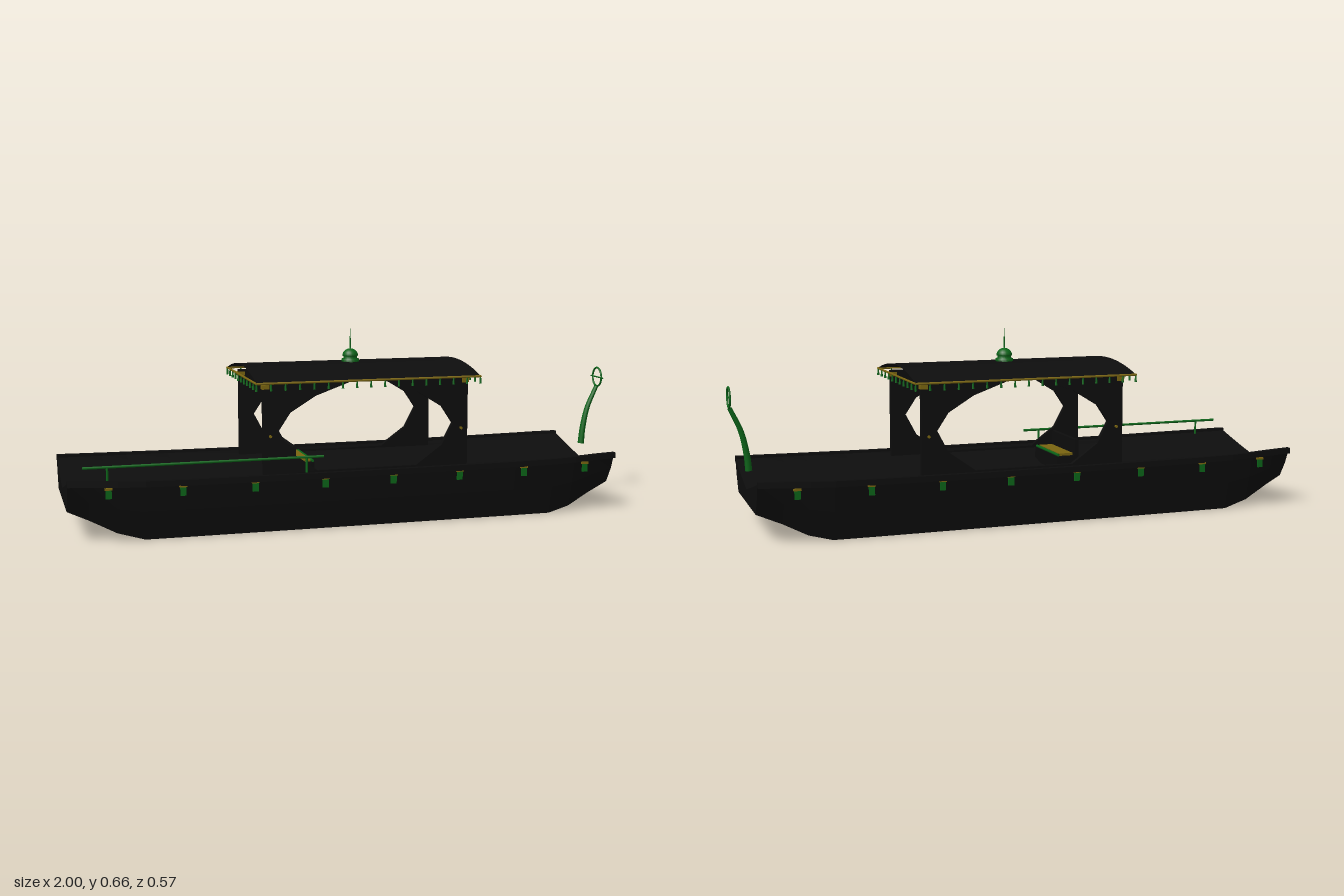
import * as THREE from 'three';

const mat = (color, extra = {}) => new THREE.MeshStandardMaterial({ color, ...extra });
const dark = mat(0x0d0d0d, { flatShading: true });
const darkSheet = mat(0x0d0d0d, { side: THREE.DoubleSide });
const green = mat(0x0b6418);
const gold = mat(0x7a6510);

export function createModel() {
  const boat = new THREE.Group();
  boat.name = 'riverBarge';

  const add = (name, geo, material, x = 0, y = 0, z = 0) => {
    const m = new THREE.Mesh(geo, material);
    m.name = name;
    m.position.set(x, y, z);
    boat.add(m);
    return m;
  };
  const box = (name, w, h, d, material, x, y, z) => add(name, new THREE.BoxGeometry(w, h, d), material, x, y, z);
  const cyl = (name, rt, rb, h, material, x, y, z, n = 12) =>
    add(name, new THREE.CylinderGeometry(rt, rb, h, n), material, x, y, z);
  const rod = (name, axis, len, r, material, x, y, z) => {
    const g = new THREE.CylinderGeometry(r, r, len, 8);
    if (axis === 'x') g.rotateZ(Math.PI / 2); else g.rotateX(Math.PI / 2);
    return add(name, g, material, x, y, z);
  };

  // Closed solid through cross-sections, each counter-clockwise seen from +x
  const loft = (sections) => {
    const n = sections[0].length, pos = [], idx = [];
    sections.forEach((s) => s.forEach((p) => pos.push(...p)));
    for (let i = 0; i < sections.length - 1; i++) {
      for (let j = 0; j < n; j++) {
        const k = (j + 1) % n, a = i * n + j, b = i * n + k;
        idx.push(a, b, b + n, a, b + n, a + n);
      }
    }
    [0, sections.length - 1].forEach((i) => {
      const s = sections[i], c = pos.length / 3;
      pos.push(...s[0].map((v, q) => (v + s[n / 2][q]) / 2));
      for (let j = 0; j < n; j++) {
        const a = i * n + j, b = i * n + (j + 1) % n;
        idx.push(c, ...(i ? [a, b] : [b, a]));
      }
    });
    const g = new THREE.BufferGeometry();
    g.setAttribute('position', new THREE.Float32BufferAttribute(pos, 3));
    g.setIndex(idx);
    const flat = g.toNonIndexed();
    flat.computeVertexNormals();
    return flat;
  };

  // Hull stations: x, keel height, half width at bottom, half width at top, top height
  const stations = [
    [-1, 0.1, 0.195, 0.25, 0.205], [-0.93, 0.07, 0.21, 0.256, 0.203],
    [-0.84, 0.025, 0.225, 0.266, 0.2], [-0.75, 0, 0.234, 0.273, 0.198],
    [-0.6, 0, 0.236, 0.275, 0.196], [-0.2, 0, 0.236, 0.275, 0.194],
    [0.2, 0, 0.236, 0.275, 0.194], [0.55, 0, 0.236, 0.275, 0.196],
    [0.7, 0, 0.234, 0.273, 0.198], [0.78, 0.02, 0.225, 0.267, 0.2],
    [0.86, 0.06, 0.212, 0.258, 0.203], [0.945, 0.095, 0.195, 0.25, 0.205],
  ];
  add('hull', loft(stations.map(([x, b, wb, wt, top]) => {
    const half = [[wb, b], [wb + (wt - wb) * 0.6, (b + top) / 2], [wt, top], [0.195, 0.19], [0.11, 0.168]];
    return [
      [x, b, 0], ...half.map(([z, y]) => [x, y, -z]),
      [x, 0.142, 0], ...half.reverse().map(([z, y]) => [x, y, z]),
    ];
  })), dark);

  // Gunwale rails with hanging tabs
  const rail = loft(stations.map(([x, , , w, y]) => [
    [x, y - 0.012, w + 0.011], [x, y - 0.012, w - 0.008], [x, y + 0.008, w - 0.008], [x, y + 0.008, w + 0.011],
  ]));
  for (const s of [1, -1]) {
    add(s > 0 ? 'frontGunwale' : 'backGunwale', rail, dark).scale.z = s;
    for (let i = 0; i < 8; i++) {
      const x = -0.87 + i * 0.2415;
      const z = s * (Math.abs(x + 0.0275) > 0.8 ? 0.268 : 0.281);
      box('hangingTab', 0.02, 0.03, 0.006, green, x, 0.166, z);
      box('tabCap', 0.026, 0.007, 0.009, gold, x, 0.183, z);
    }
  }

  // Cabin side walls with an oval opening
  const wall = new THREE.Shape([[-0.345, 0.185], [0.39, 0.185], [0.39, 0.504], [-0.345, 0.504]]
    .map((p) => new THREE.Vector2(...p)));
  wall.holes.push(new THREE.Path([
    [-0.29, 0.34], [-0.25, 0.4], [-0.16, 0.455], [-0.04, 0.498], [0.085, 0.498], [0.205, 0.455],
    [0.295, 0.4], [0.335, 0.34], [0.295, 0.265], [0.2, 0.197], [-0.155, 0.197], [-0.25, 0.265],
  ].map((p) => new THREE.Vector2(...p))));
  const wallGeo = new THREE.ExtrudeGeometry(wall, { depth: 0.017, bevelEnabled: false });
  for (const s of [1, -1]) {
    add('cabinWall', wallGeo, dark, 0, 0, s * 0.203 - 0.0085);
    for (const x of [-0.335, 0.38]) {
      box('wallCapital', 0.026, 0.015, 0.026, gold, x, 0.49, s * 0.203);
      rod('wallKnob', 'z', 0.014, 0.005, gold, x - Math.sign(x) * 0.015, 0.322, s * 0.213);
    }
  }

  // Arched canopy sheet
  const roof = new THREE.PlaneGeometry(0.795, 0.51, 1, 20).rotateX(-Math.PI / 2);
  const rp = roof.attributes.position;
  for (let i = 0; i < rp.count; i++) rp.setY(i, 0.508 + 0.037 * (1 - (rp.getZ(i) / 0.255) ** 2));
  roof.computeVertexNormals();
  add('canopy', roof, darkSheet, 0.0225);

  // Eave rods and the drops beneath them
  const drop = (x, z) => cyl('eaveDrop', 0.0025, 0.0045, 0.022, green, x, 0.493, z, 8);
  for (const s of [1, -1]) {
    const endX = 0.0225 + s * 0.3975;
    rod('sideEave', 'x', 0.795, 0.004, gold, 0.0225, 0.507, s * 0.253);
    rod('endEave', 'z', 0.51, 0.004, gold, endX, 0.507, 0);
    for (let i = 0; i <= 16; i++) drop(-0.375 + i * 0.0497, s * 0.253);
    for (let i = 1; i < 10; i++) drop(endX, -0.253 + i * 0.0506);
  }

  // Roof finial
  const finial = [[0, 0.538], [0.032, 0.538], [0.032, 0.554], [0.024, 0.554], [0.024, 0.565], [0.028, 0.565]];
  for (let i = 1; i <= 6; i++) {
    const a = i * Math.PI / 13;
    finial.push([0.028 * Math.cos(a), 0.565 + 0.026 * Math.sin(a)]);
  }
  finial.push([0.0025, 0.595], [0.0025, 0.61], [0.0015, 0.64], [0, 0.662]);
  const finialGeo = new THREE.LatheGeometry(finial.map((p) => new THREE.Vector2(...p)), 20);
  add('roofFinial', finialGeo, green, 0.022);

  // Seat facing +x, with cushion and front roll
  box('seatBase', 0.075, 0.052, 0.224, dark, -0.177, 0.181, 0);
  box('seatBack', 0.014, 0.11, 0.224, dark, -0.213, 0.21, 0);
  box('seatCushion', 0.05, 0.009, 0.2, gold, -0.177, 0.211, 0);
  rod('seatRoll', 'z', 0.212, 0.005, green, -0.145, 0.211, 0);

  // Long pole resting on two posts
  rod('pole', 'x', 0.81, 0.0045, green, -0.545, 0.25, 0.237);
  for (const x of [-0.87, -0.2]) cyl('poleRest', 0.004, 0.004, 0.055, green, x, 0.225, 0.237, 8);

  // Curved tapering stem at the end of the boat
  const path = new THREE.CatmullRomCurve3([
    [0.935, 0.205], [0.94, 0.26], [0.957, 0.34], [0.992, 0.42],
  ].map(([x, y]) => new THREE.Vector3(x, y, 0)));
  const stem = new THREE.TubeGeometry(path, 16, 0.012, 10, false);
  const sp = stem.attributes.position, c = new THREE.Vector3(), v = new THREE.Vector3();
  for (let i = 0; i < sp.count; i++) {
    const t = Math.floor(i / 11) / 16;
    path.getPointAt(t, c);
    v.fromBufferAttribute(sp, i).sub(c).multiplyScalar(1 - 0.36 * t).add(c);
    sp.setXYZ(i, v.x, v.y, v.z);
  }
  stem.computeVertexNormals();
  add('stem', stem, mat(0x0b6418, { side: THREE.DoubleSide }));
  add('stemRing', new THREE.TorusGeometry(0.035, 0.0035, 8, 28).rotateY(Math.PI / 2), green, 0.9945, 0.456, 0);
  rod('stemCrossbar', 'z', 0.096, 0.0025, green, 0.9945, 0.456, 0);

  return boat;
}
